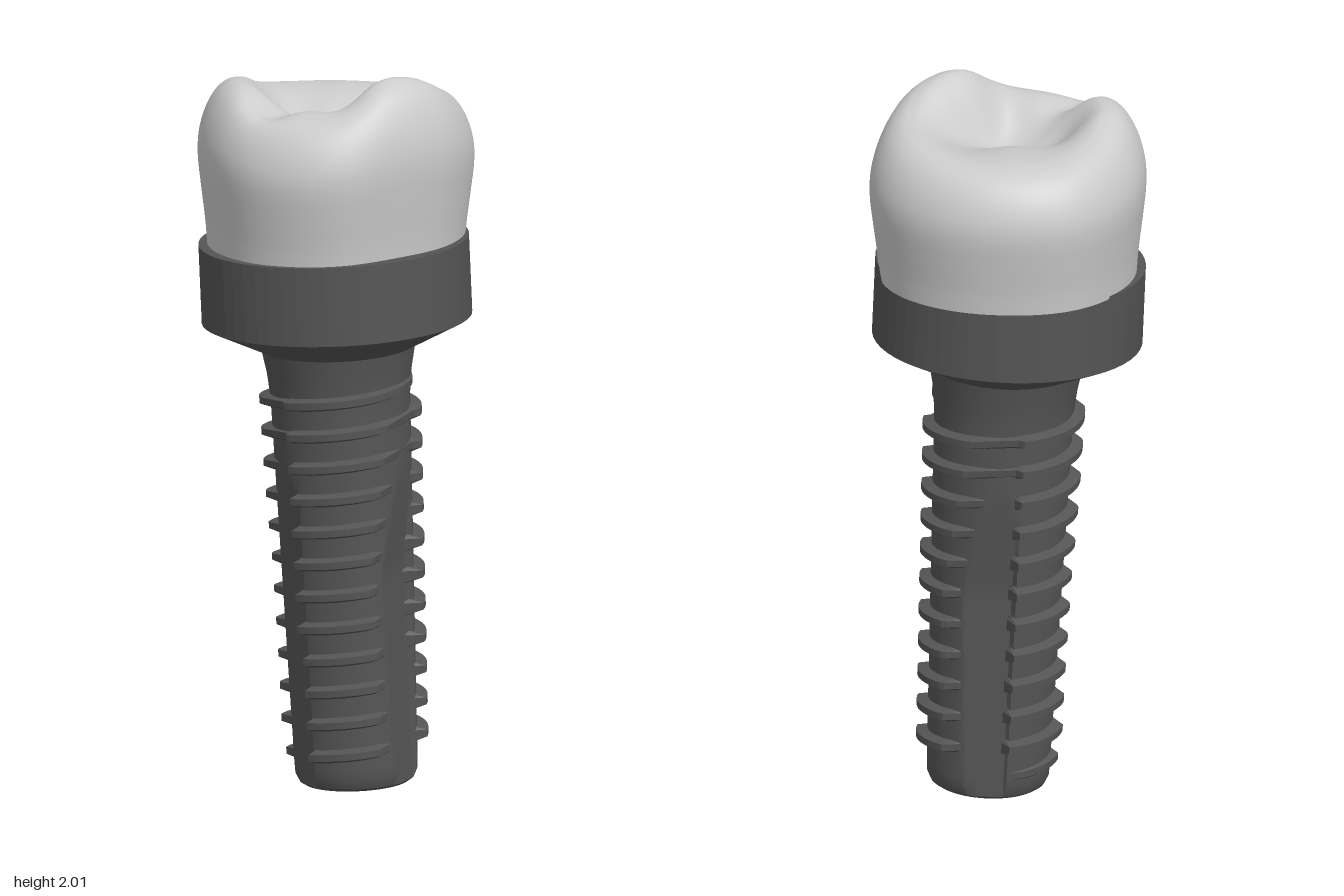
import * as THREE from 'three';
import { mergeVertices, toCreasedNormals } from 'three/addons/utils/BufferGeometryUtils.js';

const RAD = Math.PI / 180;
const metal = new THREE.MeshStandardMaterial({ color: 0x555555 });
const metalFlat = new THREE.MeshStandardMaterial({ color: 0x555555, flatShading: true });
const ceramic = new THREE.MeshStandardMaterial({ color: 0xcccccc });

// Surface from rows (going up) and columns (going round to the right)
function gridSurface(rows, cols, point) {
  const pos = [], index = [];
  for (let i = 0; i < rows; i++) {
    for (let j = 0; j <= cols; j++) pos.push(...point(i, j));
  }
  for (let i = 0; i < rows - 1; i++) {
    for (let j = 0; j < cols; j++) {
      const a = i * (cols + 1) + j, b = a + 1, c = a + cols + 1, d = c + 1;
      index.push(a, b, d, a, d, c);
    }
  }
  const g = new THREE.BufferGeometry();
  g.setAttribute('position', new THREE.Float32BufferAttribute(pos, 3));
  g.setIndex(index);
  return g;
}

// Azimuth in degrees: 0 faces +z, 90 faces +x
const polar = (deg, r, y) => [r * Math.sin(deg * RAD), y, r * Math.cos(deg * RAD)];

// Smooth closed interpolation of values spaced evenly round the axis
function around(values, deg) {
  const n = values.length, t = (deg / 360) * n, i = Math.floor(t), f = t - i;
  const [a, b, c, d] = [-1, 0, 1, 2].map(k => values[(i + k + n) % n]);
  return b + 0.5 * f * (c - a + f * (2 * a - 5 * b + 4 * c - d + f * (3 * (b - c) + d - a)));
}

// Screw body radius, and the limit set by the three cutting flutes
const coreRadius = y => 0.167 + 0.022 * y;
function fluteLimit(deg, y) {
  const d = 0.153 + Math.max(0, y - 0.6) * 0.115;
  for (const wall of [48, 168, 288]) {
    const before = (((wall - deg) % 360) + 360) % 360;
    if (before < 65) return d / Math.cos((before - 14) * RAD);
  }
  return Infinity;
}

function screwBody() {
  // Bottom socket, rounded tip, tapered body, flared neck
  const profile = [[0, 0.07], [0.085, 0.07], [0.1, 0.01], [0.112, 0], [0.145, 0], [0.157, 0.008], [0.167, 0.03]];
  for (let y = 0.06; y < 1.11; y += 0.03) profile.push([coreRadius(y), y]);
  profile.push([0.198, 1.15], [0.215, 1.24]);
  const cols = 180;
  const g = gridSurface(profile.length, cols, (i, j) => {
    const [r, y] = profile[i], deg = (j / cols) * 360;
    return polar(deg, Math.min(r, fluteLimit(deg, y)), y);
  });
  return new THREE.Mesh(toCreasedNormals(g, 0.5), metal);
}

function screwThread() {
  // [height above the body, offset along the axis]
  const section = [[-0.012, -0.026], [0.031, -0.011], [0.031, 0.008], [-0.012, 0.018]];
  const first = 0.4, last = 12.3, perTurn = 90, cols = Math.round((last - first) * perTurn);
  const g = gridSurface(section.length, cols, (i, j) => {
    const turn = first + j / perTurn, deg = (turn % 1) * 360;
    const y = 0.0285 + 0.09 * turn + section[i][1];
    // Fade at both ends
    const fade = Math.min(1, j / 30, (cols - j) / 30);
    const h = section[i][0] > 0 ? -0.01 + (section[i][0] + 0.01) * fade : section[i][0];
    return polar(deg, Math.min(coreRadius(y) + h, fluteLimit(deg, y) - 0.004), y);
  });
  return new THREE.Mesh(g, metalFlat);
}

function collar() {
  const points = [[0.19, 1.21], [0.205, 1.215], [0.37, 1.297], [0.37, 1.517], [0, 1.517]];
  const g = new THREE.LatheGeometry(points.map(p => new THREE.Vector2(...p)), 56);
  return new THREE.Mesh(g, metalFlat);
}

function crown() {
  // Every 30 degrees: widest radius and rim height
  const outline = [0.365, 0.37, 0.375, 0.385, 0.385, 0.387, 0.397, 0.385, 0.38, 0.385, 0.402, 0.402];
  const rim = [1.993, 1.99, 1.938, 1.915, 1.896, 1.89, 1.895, 1.922, 1.972, 1.968, 1.92, 1.928];
  // Outer wall: [share of radius, share of rim height]
  const wall = new THREE.CatmullRomCurve3([[0.93, 0], [0.945, 0.15], [0.975, 0.35], [1, 0.55], [0.99, 0.68],
    [0.94, 0.82], [0.86, 0.93], [0.77, 0.985], [0.68, 1]].map(([k, h]) => new THREE.Vector3(k, h, 0)));
  // Chewing surface details: [x, z, height, spread]
  const bumps = [[0.03, -0.09, 0.045, 0.09], [-0.02, 0.06, -0.03, 0.06], [-0.25, 0.08, -0.035, 0.045],
    [-0.15, -0.06, -0.03, 0.055], [-0.16, 0.14, 0.02, 0.05], [0.03, 0.17, 0.02, 0.07]];
  const wallRows = 30, topRows = 28, cols = 120;
  const g = gridSurface(wallRows + topRows, cols, (i, j) => {
    const deg = ((j % cols) / cols) * 360, top = around(rim, deg);
    let k, y;
    if (i < wallRows) {
      const p = wall.getPoint(i / (wallRows - 1));
      k = p.x;
      y = 1.5 + p.y * (top - 1.5);
    } else {
      const s = 1 - (i - wallRows + 1) / topRows;
      k = 0.68 * s;
      y = THREE.MathUtils.lerp(1.845, top, THREE.MathUtils.smoothstep(s, 0.25, 1));
    }
    const [x, , z] = polar(deg, k * around(outline, deg), 0);
    if (y > 1.75) {
      for (const [bx, bz, h, w] of bumps) y += h * Math.exp(-((x - bx) ** 2 + (z - bz) ** 2) / (2 * w * w));
    }
    return [x, y, z];
  });
  const smooth = mergeVertices(g, 1e-5);
  smooth.computeVertexNormals();
  return new THREE.Mesh(smooth, ceramic);
}

export function createModel() {
  const model = new THREE.Group();
  model.name = 'dentalImplant';

  // Screw and collar lean slightly against the crown
  const implant = new THREE.Group();
  implant.name = 'implant';
  const parts = { screwBody: screwBody(), screwThread: screwThread(), collar: collar() };
  for (const [name, mesh] of Object.entries(parts)) {
    mesh.name = name;
    implant.add(mesh);
  }
  implant.position.set(0.03, 0.006, 0.06);
  implant.quaternion.setFromUnitVectors(new THREE.Vector3(0, 1, 0), new THREE.Vector3(-0.045, 1.4, -0.04).normalize());
  model.add(implant);

  const tooth = crown();
  tooth.name = 'crown';
  model.add(tooth);
  return model;
}
